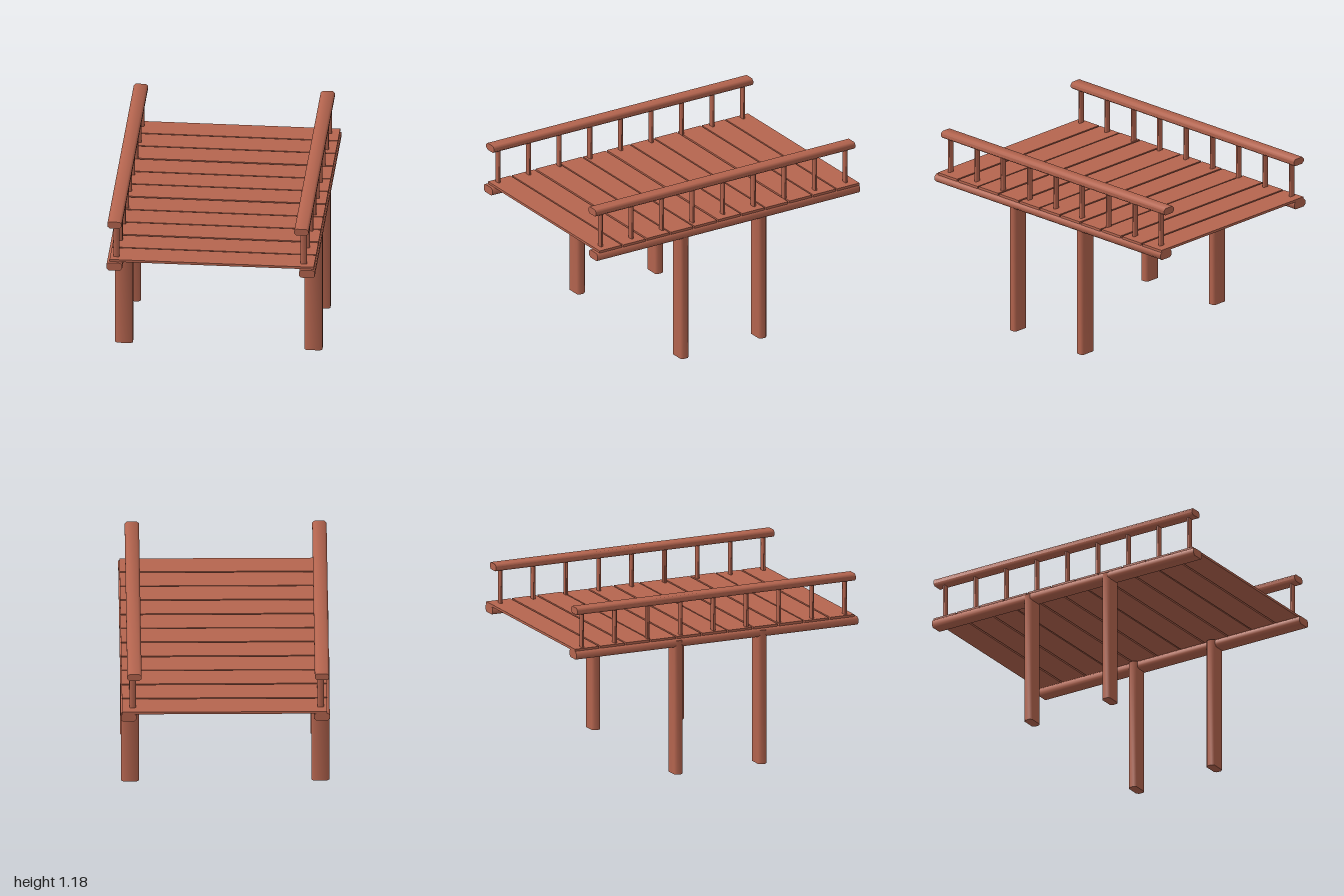
import * as THREE from 'three';
import { toCreasedNormals } from 'three/addons/utils/BufferGeometryUtils.js';

// Timber with chamfered long edges, w x h in section, centred, running along z
function timber(w, h, length, c) {
  const a = w / 2, b = h / 2;
  const shape = new THREE.Shape([
    [-a + c, -b], [a - c, -b], [a, -b + c], [a, b - c],
    [a - c, b], [-a + c, b], [-a, b - c], [-a, -b + c],
  ].map(([x, y]) => new THREE.Vector2(x, y)));
  const geo = new THREE.ExtrudeGeometry(shape, { depth: length, bevelEnabled: false });
  geo.translate(0, 0, -length / 2);
  return toCreasedNormals(geo, 0.9);
}

export function createModel() {
  const model = new THREE.Group();
  const wood = new THREE.MeshStandardMaterial({ color: 0xb5654f });
  wood.name = 'red brown wood';

  const add = (name, geo, x, y, z) => {
    const mesh = new THREE.Mesh(geo, wood);
    mesh.name = name;
    mesh.position.set(x, y, z);
    model.add(mesh);
    return mesh;
  };

  // Deck planks with narrow gaps
  const count = 11, start = -1, pitch = 0.181, gap = 0.011;
  const plank = new THREE.BoxGeometry(1.31, 0.016, pitch - gap);
  for (let i = 0; i < count; i++) {
    add('deckPlank', plank, 0.005, 0.901 + (i % 3 - 1) * 0.001, start + (pitch - gap) / 2 + i * pitch);
  }

  const post = timber(0.115, 0.06, 0.885, 0.014).rotateX(-Math.PI / 2);
  const beam = timber(0.1, 0.053, 2, 0.013);
  const rail = timber(0.092, 0.046, 1.975, 0.014);
  const baluster = timber(0.04, 0.018, 0.245, 0.004).rotateX(-Math.PI / 2);

  for (const side of [-1, 1]) {
    const railX = side < 0 ? -0.618 : 0.581;
    const balusterX = side < 0 ? -0.61 : 0.592;

    // Bearer beam and its two posts
    add('bearerBeam', beam, side * 0.618, 0.8675, 0);
    for (const z of [0.325, -0.27]) {
      add('supportPost', post, side < 0 ? -0.613 : 0.603, 0.4425, z);
    }

    // Handrail on its row of balusters
    add('handrail', rail, railX, 1.156, -0.003);
    for (let i = 0; i < 9; i++) {
      add('baluster', baluster, balusterX, 1.0175, 0.93 - i * 0.233);
    }
  }
  return model;
}
